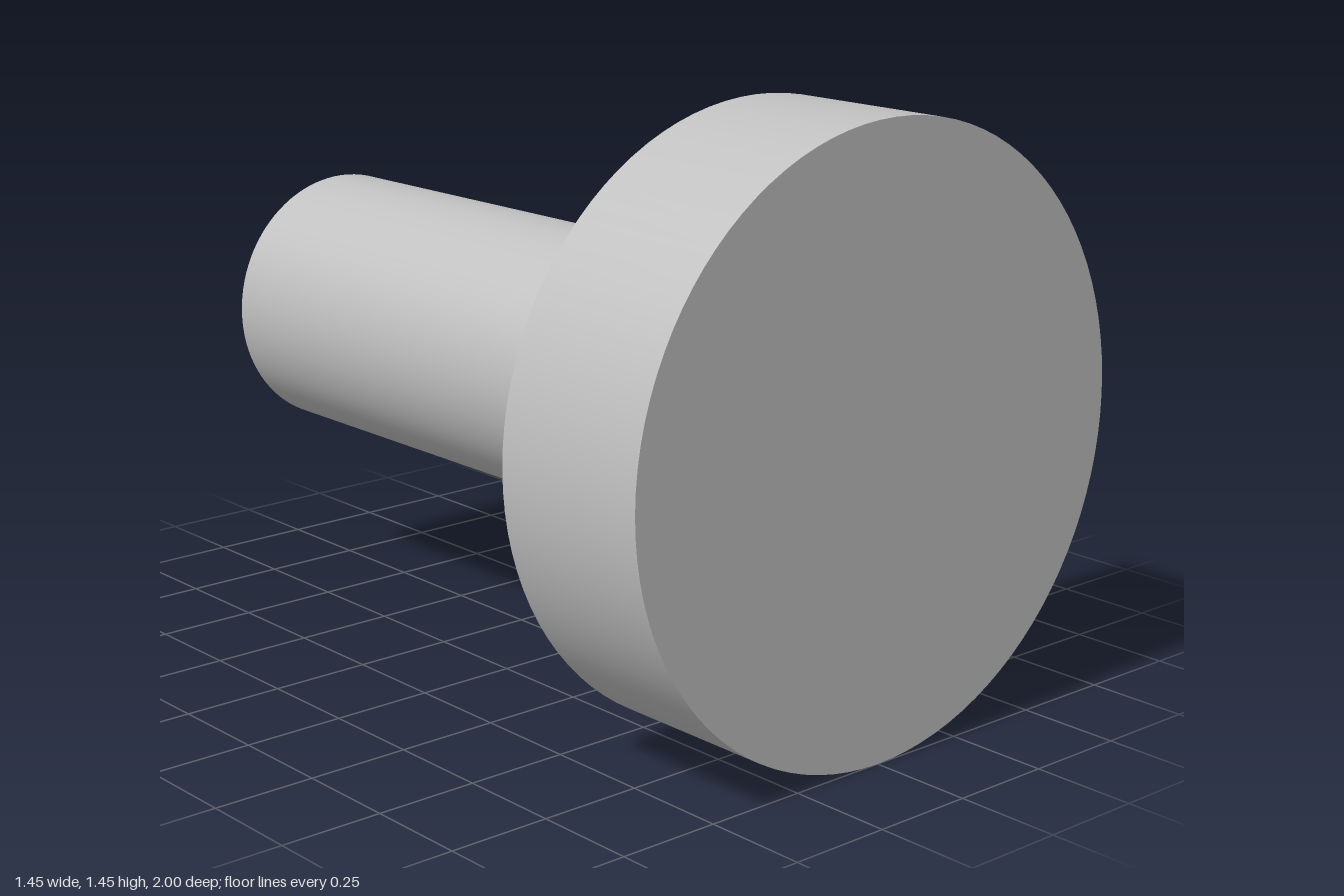
import * as THREE from 'three';

export function createModel() {
  const model = new THREE.Group();
  model.name = 'headedPin';
  const steel = new THREE.MeshStandardMaterial({ color: 0xc0c0c0 });
  steel.name = 'light grey steel';

  const axisY = 0.724;

  // Solid round bar along z between two depths
  function bar(name, radius, zBack, zFront) {
    const geometry = new THREE.CylinderGeometry(radius, radius, zFront - zBack, 96);
    geometry.rotateX(Math.PI / 2);
    const mesh = new THREE.Mesh(geometry, steel);
    mesh.name = name;
    mesh.position.set(0, axisY, (zBack + zFront) / 2);
    model.add(mesh);
  }

  // Wide disc head at the front, narrower shank behind it
  bar('head', 0.724, 0.58, 1);
  bar('shank', 0.328, -1, 0.58);

  return model;
}
